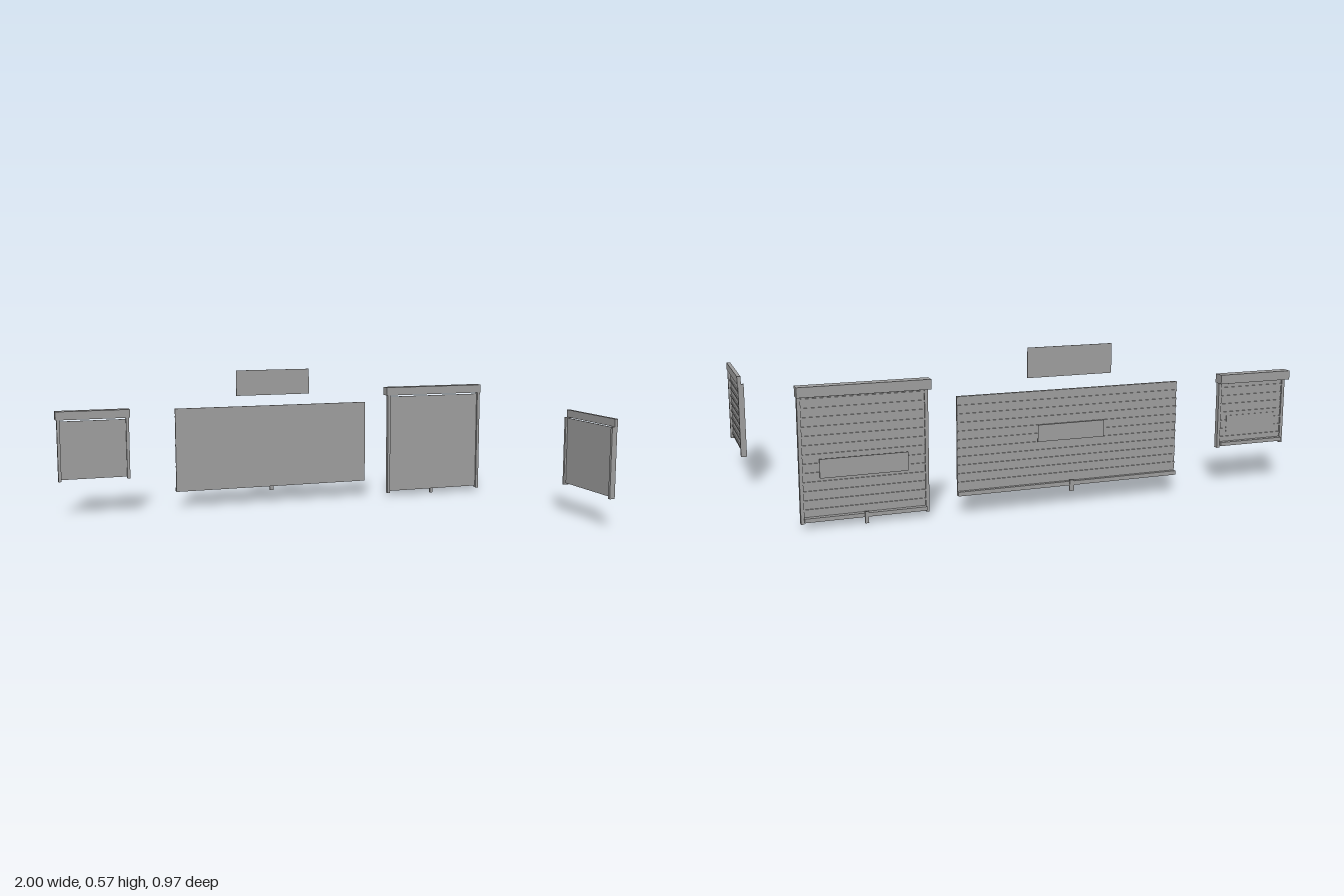
import * as THREE from 'three';

const steel = new THREE.MeshStandardMaterial({ color: 0xa0a0a0 });
steel.name = 'grey steel';

// Box given by its limits on each axis
function box(parent, name, x0, x1, y0, y1, z0, z1) {
  const mesh = new THREE.Mesh(new THREE.BoxGeometry(x1 - x0, y1 - y0, z1 - z0), steel);
  mesh.position.set((x0 + x1) / 2, (y0 + y1) / 2, (z0 + z1) / 2);
  mesh.name = name;
  parent.add(mesh);
  return mesh;
}

// Flat sheet with raised ribs on its -z side
function curtain(parent, x0, x1, y0, y1, back, front, firstRib, pitch, ribDepth) {
  box(parent, 'curtainSheet', x0, x1, y0, y1, back, front);
  for (let y = firstRib; y < y1 - 0.003; y += pitch) {
    box(parent, 'slatRib', x0, x1, y - 0.0035, y + 0.0035, back - ribDepth, back);
  }
}

// Pair of upright side guides
function guides(parent, x0, x1, width, y0, y1, z0, z1) {
  box(parent, 'sideGuide', x0, x0 + width, y0, y1, z0, z1);
  box(parent, 'sideGuide', x1 - width, x1, y0, y1, z0, z1);
}

function addGroup(parent, name) {
  const group = new THREE.Group();
  group.name = name;
  parent.add(group);
  return group;
}

export function createModel() {
  const model = new THREE.Group();
  model.name = 'rollerShutters';

  // Small shutter
  const small = addGroup(model, 'smallShutter');
  box(small, 'housing', -1, -0.702, 0.396, 0.43, -0.463, -0.423);
  guides(small, -0.995, -0.707, 0.012, 0.146, 0.396, -0.441, -0.423);
  curtain(small, -0.984, -0.718, 0.153, 0.39, -0.435, -0.431, 0.185, 0.0315, 0.004);
  box(small, 'bottomBar', -0.984, -0.718, 0.154, 0.168, -0.452, -0.435);
  box(small, 'backPlate', -0.955, -0.745, 0.207, 0.268, -0.4395, -0.4375);

  // Large shutter
  const large = addGroup(model, 'largeShutter');
  box(large, 'housing', 0.424, 0.881, 0.45, 0.485, -0.463, -0.422);
  guides(large, 0.43, 0.877, 0.012, 0.014, 0.45, -0.441, -0.422);
  curtain(large, 0.441, 0.866, 0.022, 0.444, -0.435, -0.431, 0.06, 0.0315, 0.004);
  box(large, 'bottomBar', 0.441, 0.866, 0.022, 0.036, -0.453, -0.435);
  box(large, 'lockTab', 0.648, 0.661, 0, 0.041, -0.455, -0.446);
  box(large, 'backPlate', 0.505, 0.81, 0.17, 0.236, -0.449, -0.446);

  // Wide shutter without guides
  const wide = addGroup(model, 'wideShutter');
  curtain(wide, -0.509, 0.337, 0.07, 0.421, -0.470, -0.463, 0.115, 0.0302, 0.004);
  box(wide, 'bottomBar', -0.509, 0.337, 0.07, 0.085, -0.483, -0.47);
  box(wide, 'lockTab', -0.096, -0.08, 0.05, 0.09, -0.487, -0.479);
  box(wide, 'backPlate', -0.212, 0.042, 0.24, 0.301, -0.483, -0.48);

  // Loose plate above the wide shutter
  box(model, 'upperPlate', -0.247, 0.075, 0.467, 0.574, -0.462, -0.459);

  // Side shutter, ribs facing +x
  const side = addGroup(model, 'sideShutter');
  side.rotation.y = -Math.PI / 2;
  box(side, 'housing', 0.143, 0.486, 0.397, 0.427, -1, -0.986);
  guides(side, 0.143, 0.486, 0.011, 0.118, 0.397, -0.998, -0.976);
  curtain(side, 0.154, 0.475, 0.125, 0.394, -0.988, -0.984, 0.14, 0.031, 0.004);

  return model;
}
